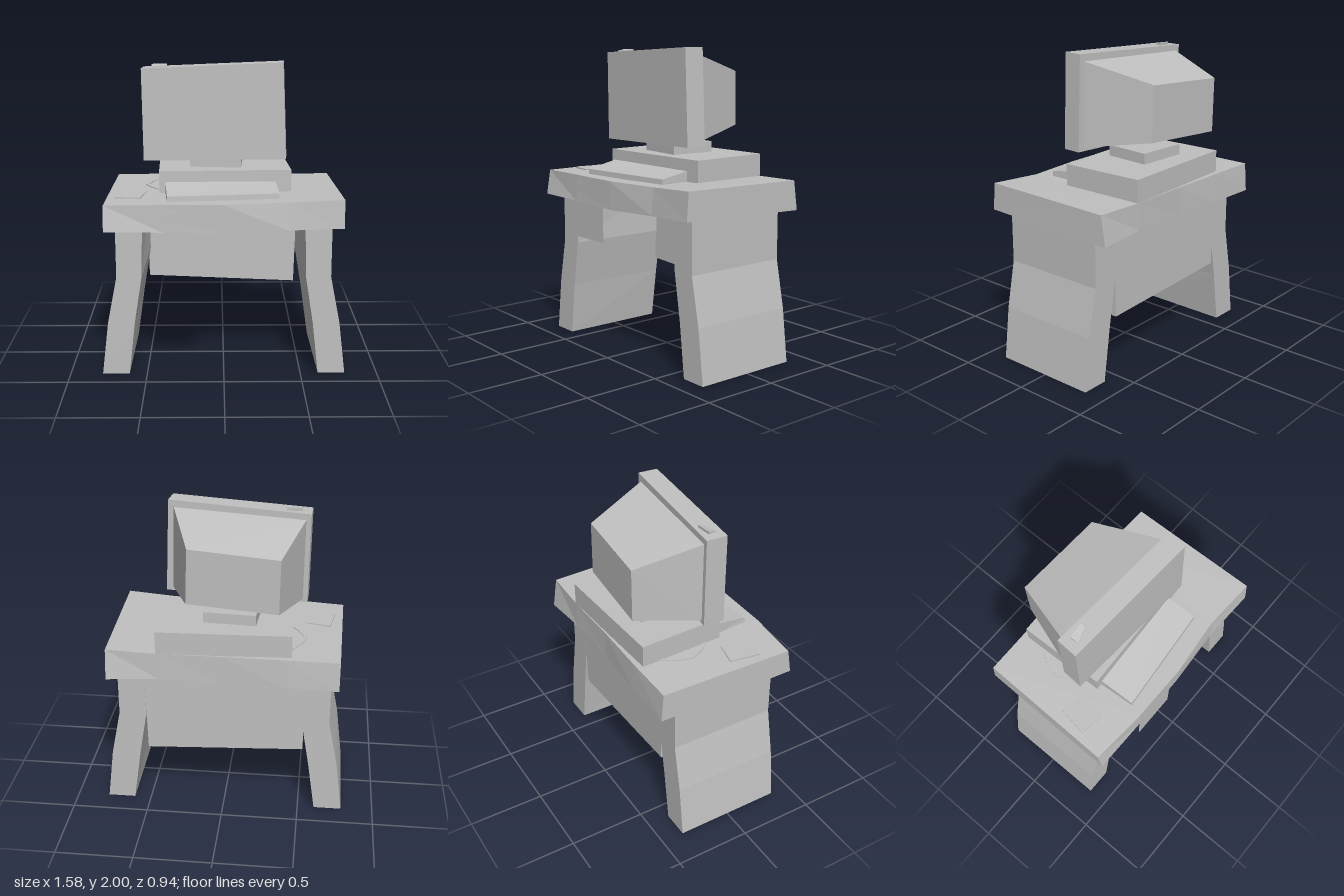
import * as THREE from 'three';

const grey = new THREE.MeshStandardMaterial({ color: 0xc0c0c0, side: THREE.DoubleSide, flatShading: true });
grey.name = 'plain grey';

// Skin a series of four-cornered rings, with optional end caps
function loft(name, rings, capStart = true, capEnd = true) {
  const pos = [];
  const quad = (a, b, c, d) => pos.push(...a, ...b, ...c, ...a, ...c, ...d);
  for (let r = 0; r < rings.length - 1; r++) {
    for (let i = 0; i < 4; i++) {
      const j = (i + 1) % 4;
      quad(rings[r][i], rings[r][j], rings[r + 1][j], rings[r + 1][i]);
    }
  }
  const end = rings[rings.length - 1];
  if (capStart) quad(rings[0][3], rings[0][2], rings[0][1], rings[0][0]);
  if (capEnd) quad(end[0], end[1], end[2], end[3]);
  const geo = new THREE.BufferGeometry();
  geo.setAttribute('position', new THREE.Float32BufferAttribute(pos, 3));
  geo.computeVertexNormals();
  const mesh = new THREE.Mesh(geo, grey);
  mesh.name = name;
  return mesh;
}

// Block from a plan outline [x, z]: front left, front right, back right, back left as seen from the front
function block(name, plan, y0, y1) {
  return loft(name, [y0, y1].map(y => plan.map(([x, z]) => [x, y, z])));
}

export function createModel() {
  const model = new THREE.Group();
  model.name = 'computerDesk';

  // Warped desk top: x, then [y, z] of front bottom, back bottom, back top, front top
  const deskRings = [
    [-0.75, [0.985, 0.465], [0.965, -0.475], [1.155, -0.46], [1.15, 0.437]],
    [-0.38, [0.985, 0.47], [0.97, -0.47], [1.16, -0.462], [1.16, 0.465]],
    [0, [0.975, 0.468], [0.975, -0.45], [1.157, -0.45], [1.16, 0.468]],
    [0.4, [0.99, 0.445], [0.985, -0.457], [1.157, -0.453], [1.165, 0.428]],
    [0.75, [1.005, 0.46], [0.97, -0.472], [1.165, -0.442], [1.185, 0.447]],
  ].map(([x, ...p]) => p.map(([y, z]) => [z < 0 && Math.abs(x) > 0.7 ? x * 0.98 : x, y, z]));
  model.add(loft('deskTop', deskRings));

  // Splayed hollow legs: y, outer x, inner x in front, inner x behind
  const legLevels = [
    [0, 0.79, 0.615, 0.61],
    [0.35, 0.748, 0.575, 0.56],
    [0.66, 0.686, 0.525, 0.508],
    [1.01, 0.686, 0.515, 0.515],
  ];
  for (const side of [-1, 1]) {
    const rings = legLevels.map(([y, out, inF, inB]) => {
      const ring = [[inF, 0.365], [out, 0.365], [out, -0.35], [inB, -0.35]]
        .map(([x, z]) => [side * x, y, z]);
      return side > 0 ? ring : ring.reverse();
    });
    model.add(loft(side > 0 ? 'leftLeg' : 'rightLeg', rings, false, true));
  }

  // Back panel between the legs, with a slanting lower edge
  model.add(loft('backPanel', [
    [[-0.52, 0.455, -0.315], [0.5, 0.41, -0.315], [0.5, 0.41, -0.35], [-0.52, 0.455, -0.35]],
    [[-0.52, 0.99, -0.315], [0.515, 0.99, -0.315], [0.515, 0.99, -0.35], [-0.52, 0.99, -0.35]],
  ]));

  // Sheet of paper hanging over the front edge
  const sheet = new THREE.Mesh(new THREE.PlaneGeometry(0.305, 0.355), grey);
  sheet.position.set(-0.2275, 0.9225, 0.468);
  sheet.name = 'hangingSheet';
  model.add(sheet);

  // Computer case and monitor foot
  model.add(block('computerCase', [[-0.415, 0.145], [0.44, 0.11], [0.415, -0.452], [-0.435, -0.425]], 1.155, 1.305));
  model.add(block('monitorFoot', [[-0.22, 0], [0.115, 0.035], [0.135, -0.275], [-0.2, -0.297]], 1.3, 1.375));

  // Sloping keyboard
  model.add(loft('keyboard', [
    [[-0.358, 1.155, 0.382], [0.352, 1.155, 0.32], [0.342, 1.155, 0.11], [-0.375, 1.155, 0.145]],
    [[-0.355, 1.193, 0.38], [0.35, 1.197, 0.318], [0.34, 1.23, 0.115], [-0.375, 1.235, 0.15]],
  ]));

  // Screen slab
  model.add(loft('screenFrame', [
    [[-0.515, 1.365, 0.1], [0.4, 1.385, 0.16], [0.412, 1.388, 0.03], [-0.508, 1.368, -0.038]],
    [[-0.522, 1.957, 0.1], [0.375, 2, 0.16], [0.387, 2, 0.03], [-0.515, 1.957, -0.038]],
  ]));

  // Tapered rear housing of the monitor
  model.add(loft('monitorHousing', [
    [[0.37, 1.41, 0.035], [-0.48, 1.388, -0.03], [-0.485, 1.92, -0.03], [0.355, 1.955, 0.035]],
    [[0.225, 1.485, -0.407], [-0.35, 1.455, -0.445], [-0.355, 1.805, -0.448], [0.212, 1.84, -0.41]],
  ]));

  // Small tab on top of the screen
  model.add(loft('screenTab', [
    [[-0.455, 1.95, 0.065], [-0.36, 1.95, 0.035], [-0.36, 1.95, 0], [-0.46, 1.95, 0.01]],
    [[-0.455, 1.966, 0.065], [-0.36, 1.972, 0.035], [-0.36, 1.98, 0], [-0.46, 1.978, 0.01]],
  ]));

  // Mouse mat
  model.add(block('mouseMat', [[-0.695, 0.26], [-0.53, 0.285], [-0.5, 0.095], [-0.665, 0.06]], 1.152, 1.163));

  // Flat cable curling out from the case
  const cablePath = [[-0.41, -0.335], [-0.48, -0.22], [-0.51, -0.115], [-0.47, -0.03], [-0.4, 0.06]];
  model.add(loft('cable', cablePath.map(([x, z]) => [
    [x - 0.01, 1.152, z], [x + 0.014, 1.152, z], [x + 0.014, 1.164, z], [x - 0.01, 1.164, z],
  ])));

  return model;
}
